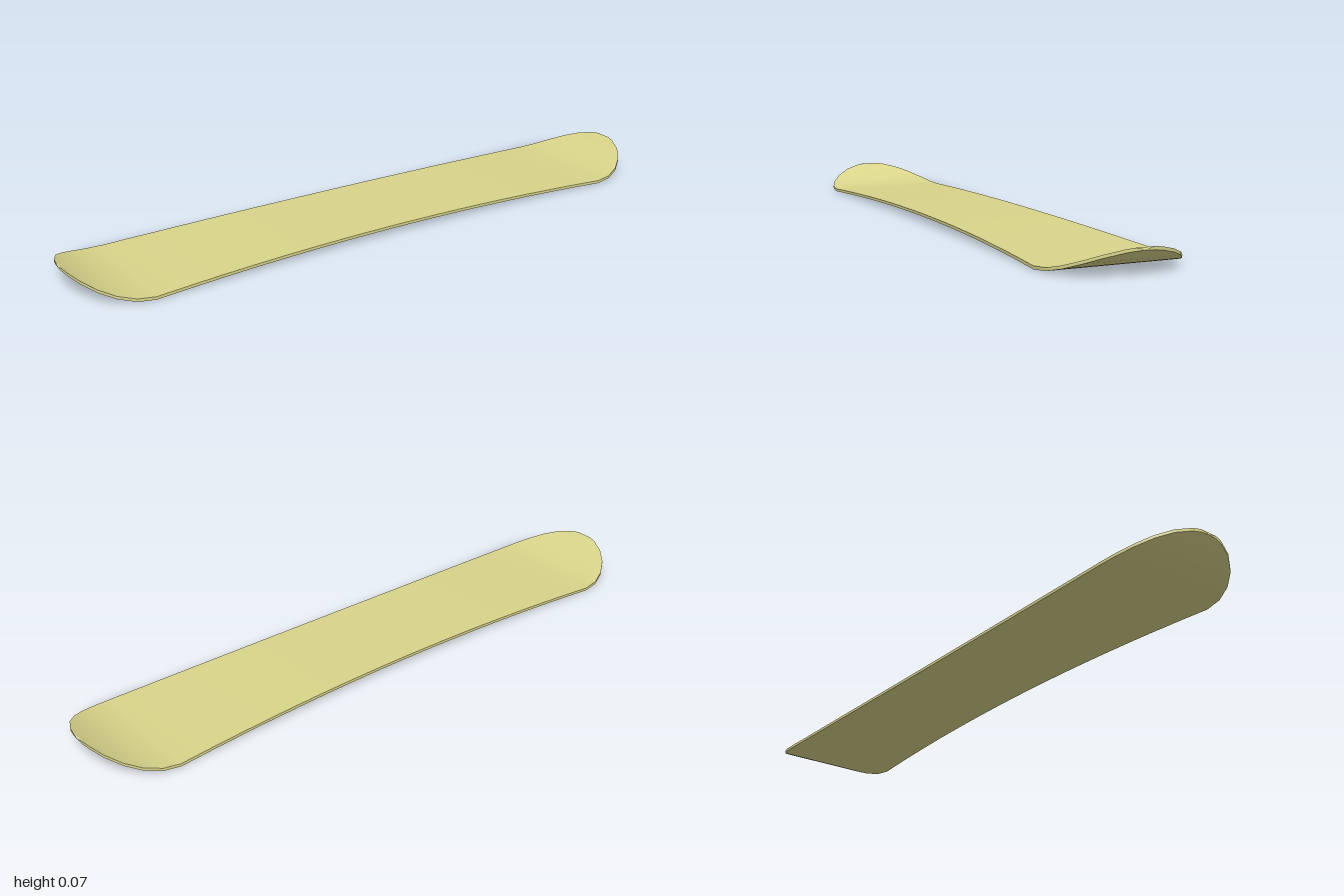
import * as THREE from 'three';

const FLAT = 0.8, R = 0.2, THICK = 0.009;

// Stations along the board: x, half width, base height, top height
function stations() {
  const half = [];
  for (let i = 0; i <= 8; i++) {
    const t = i / 8;
    const y = 0.018 * (1 - t * t);
    half.push({ x: FLAT * t, w: 0.177 + 0.023 * t * t, y, top: y + THICK });
  }
  // Rounded, upturned end that closes to a thin lip
  for (const deg of [15, 30, 45, 60, 75, 82, 90]) {
    const a = THREE.MathUtils.degToRad(deg);
    const y = 0.067 * Math.sin(a) ** 2;
    const w = deg === 90 ? 0 : R * Math.cos(a);
    half.push({ x: FLAT + R * Math.sin(a), w, y, top: y + (deg === 90 ? 0.001 : THICK) });
  }
  const mirrored = half.slice(1).reverse().map((s) => ({ ...s, x: -s.x }));
  return [...mirrored, ...half];
}

// Smooth strip between two rails of points
function strip(railA, railB) {
  const pos = [], index = [];
  railA.forEach((a, i) => {
    pos.push(...a, ...railB[i]);
    if (i) {
      const k = 2 * i - 2;
      index.push(k, k + 2, k + 1, k + 1, k + 2, k + 3);
    }
  });
  const g = new THREE.BufferGeometry();
  g.setAttribute('position', new THREE.Float32BufferAttribute(pos, 3));
  g.setIndex(index);
  g.computeVertexNormals();
  return g;
}

export function createModel() {
  const board = new THREE.Group();
  board.name = 'snowboard';
  const material = new THREE.MeshStandardMaterial({ color: 0xd8d48a });
  const rows = stations();
  const rail = (side, key) => rows.map((s) => [s.x, s[key], side * s.w]);

  const add = (name, a, b) => {
    const mesh = new THREE.Mesh(strip(a, b), material);
    mesh.name = name;
    board.add(mesh);
  };

  // Deck and base
  add('deck', rail(1, 'top'), rail(-1, 'top'));
  add('base', rail(-1, 'y'), rail(1, 'y'));
  // Side walls
  add('frontEdge', rail(1, 'y'), rail(1, 'top'));
  add('backEdge', rail(-1, 'top'), rail(-1, 'y'));
  return board;
}
